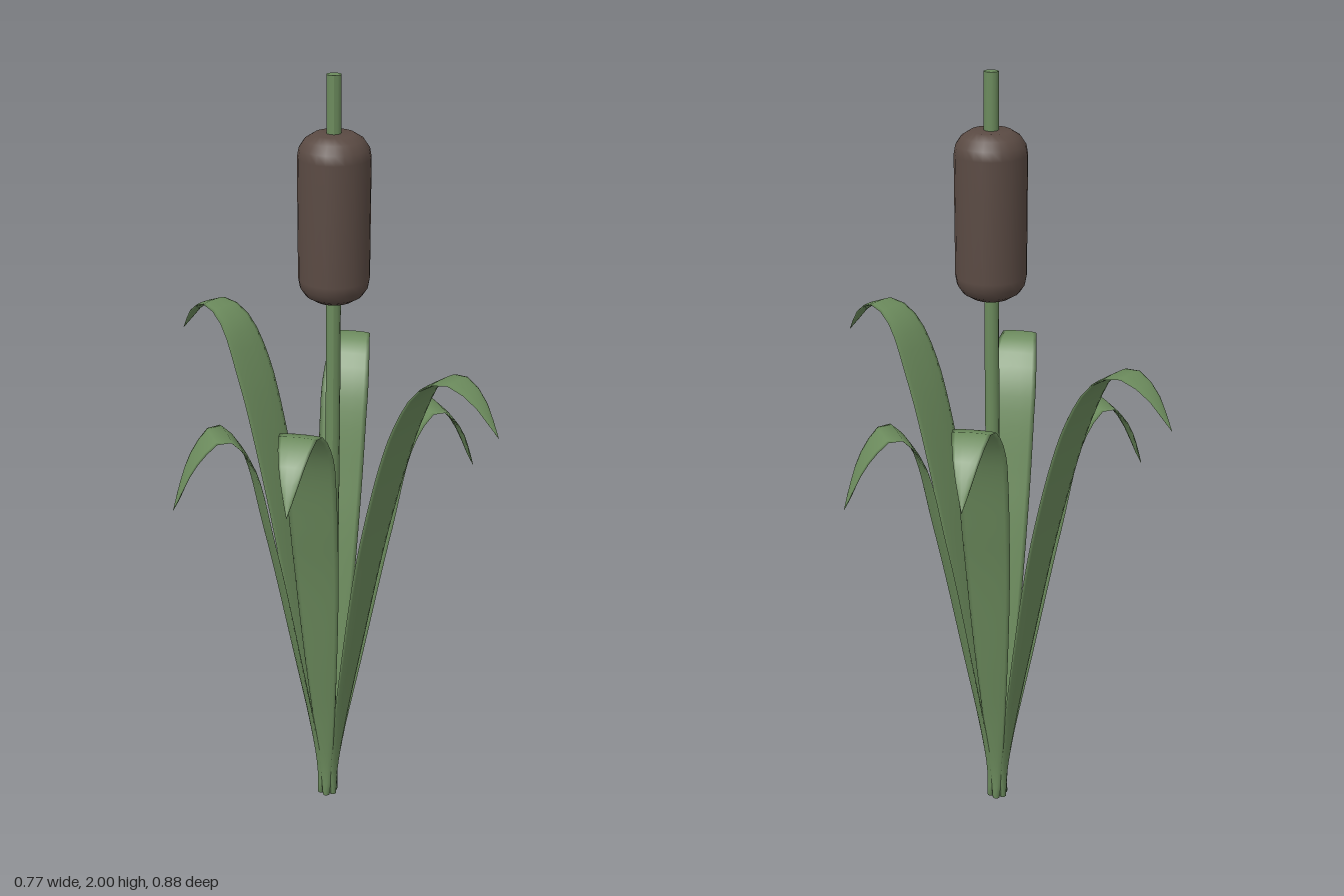
import * as THREE from 'three';

const green = new THREE.MeshStandardMaterial({ name: 'leafGreen', color: 0x6b8a5c });
const brown = new THREE.MeshStandardMaterial({ name: 'headBrown', color: 0x5a4a43 });

// Half width of a leaf at fraction u of its length
function halfWidth(u) {
  if (u < 0.75) return 0.01 + 0.052 * Math.sin((Math.PI / 2) * (u / 0.75));
  return 0.062 * (1 - Math.pow((u - 0.75) / 0.25, 1.8)) + 0.0004;
}

// Lens-shaped section swept along a drooping spine given as [radius, height]
function leafGeometry(profile) {
  const spine = new THREE.CatmullRomCurve3(profile.map(([r, y]) => new THREE.Vector3(r, y, 0)));
  const rows = 40, sides = 10, pos = [], idx = [];
  for (let i = 0; i <= rows; i++) {
    const u = i / rows;
    const p = spine.getPointAt(u), t = spine.getTangentAt(u);
    const w = halfWidth(u), h = Math.min(w, 0.0035 + 0.0055 * Math.max(0, 1 - u * 5));
    for (let j = 0; j < sides; j++) {
      const a = (j / sides) * Math.PI * 2, n = h * Math.sin(a);
      pos.push(p.x + t.y * n, p.y - t.x * n, w * Math.cos(a));
      if (i < rows) {
        const k = (j + 1) % sides;
        const a0 = i * sides + j, b0 = i * sides + k;
        idx.push(a0, b0, b0 + sides, a0, b0 + sides, a0 + sides);
      }
    }
  }
  // Close the foot and the tip
  const end = rows * sides;
  for (let j = 1; j < sides - 1; j++) {
    idx.push(0, j + 1, j, end, end + j, end + j + 1);
  }
  const g = new THREE.BufferGeometry();
  g.setAttribute('position', new THREE.Float32BufferAttribute(pos, 3));
  g.setIndex(idx);
  g.computeVertexNormals();
  return g;
}

export function createModel() {
  const model = new THREE.Group();
  model.name = 'cattail';
  const add = (name, geometry, material) => {
    const mesh = new THREE.Mesh(geometry, material);
    mesh.name = name;
    model.add(mesh);
    return mesh;
  };

  // Slightly leaning stalk
  const stalk = new THREE.CylinderGeometry(0.017, 0.019, 2, 12, 8);
  const p = stalk.attributes.position;
  for (let i = 0; i < p.count; i++) {
    const y = p.getY(i) + 1;
    p.setXYZ(i, p.getX(i) + 0.014 * Math.sin(Math.min(1, y / 1.6) * Math.PI / 2), y, p.getZ(i));
  }
  stalk.computeVertexNormals();
  add('stalk', stalk, green);

  // Seed head with rounded ends
  const half = [[0.0, 0.198], [0.047, 0.197], [0.068, 0.184], [0.081, 0.165], [0.085, 0.143]];
  const outline = [
    ...half.map(([r, y]) => new THREE.Vector2(r, -y)),
    ...half.slice().reverse().map(([r, y]) => new THREE.Vector2(r, y)),
  ];
  add('seedHead', new THREE.LatheGeometry(outline, 24), brown).position.set(0.015, 1.672, 0);

  // Three leaf lengths, each used twice around the stalk
  const profiles = [
    [[0.02, 0], [0.022, 0.09], [0.09, 0.5], [0.155, 0.85], [0.215, 1.1], [0.275, 1.163], [0.34, 1.105], [0.4, 0.97]],
    [[0.02, 0], [0.022, 0.09], [0.087, 0.5], [0.155, 0.88], [0.235, 1.18], [0.32, 1.263], [0.39, 1.225], [0.45, 1.12]],
    [[0.02, 0], [0.022, 0.09], [0.085, 0.5], [0.165, 0.92], [0.255, 1.23], [0.32, 1.345], [0.385, 1.374], [0.45, 1.345], [0.512, 1.27]],
  ].map(leafGeometry);
  for (let k = 0; k < 6; k++) {
    add('leaf' + (k + 1), profiles[k % 3], green).rotation.y = 0.3 + (k * Math.PI) / 3;
  }
  return model;
}
